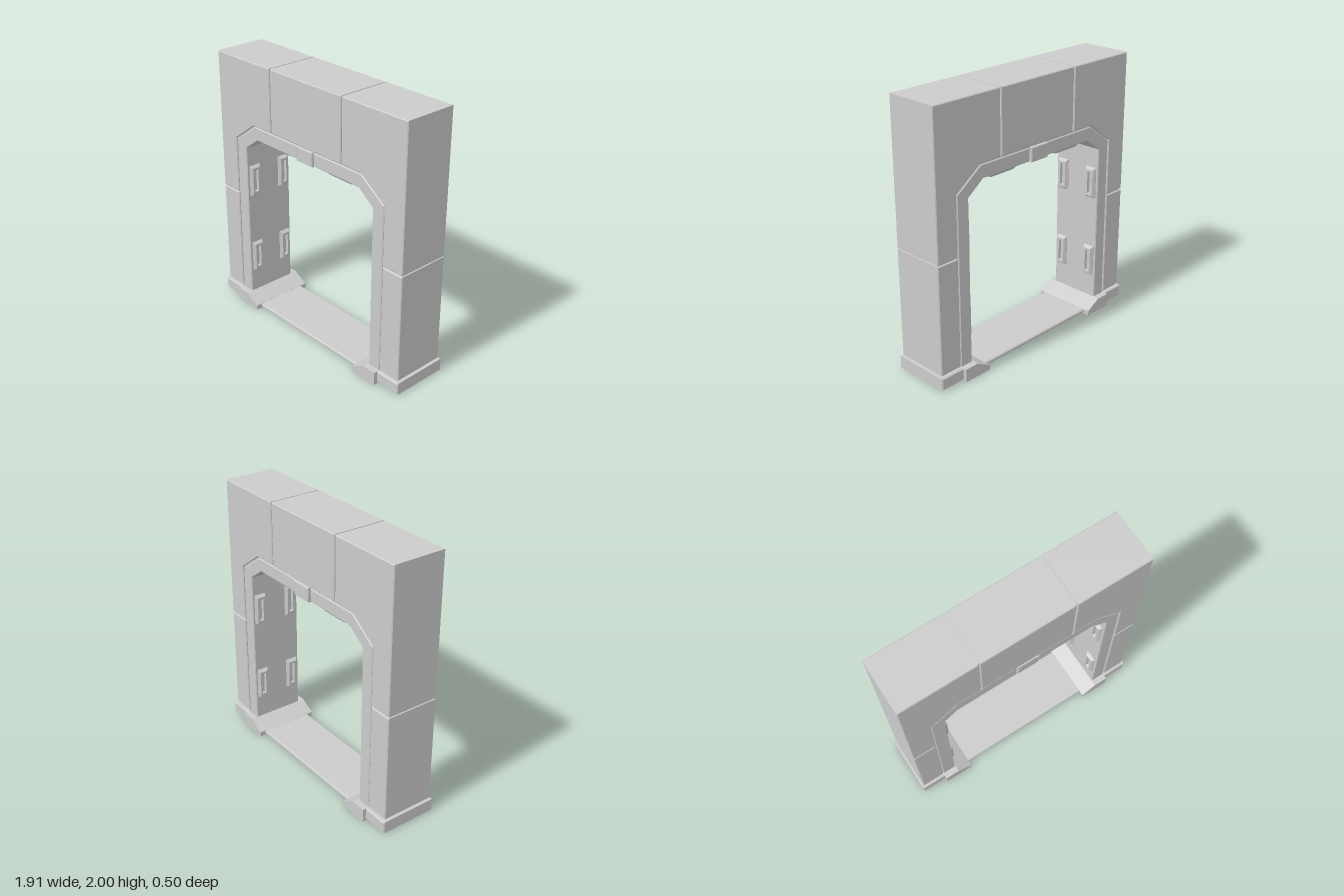
import * as THREE from 'three';

const grey = new THREE.MeshStandardMaterial({ color: 0xcccccc });

// Chamfered slab: an outline in x,y run from z0 to z1
function slab(name, pts, z0, z1, bevel = 0.006) {
  const shape = new THREE.Shape(pts.map(([x, y]) => new THREE.Vector2(x, y)));
  const geo = new THREE.ExtrudeGeometry(shape, {
    depth: z1 - z0 - 2 * bevel,
    bevelEnabled: bevel > 0,
    bevelThickness: bevel,
    bevelSize: bevel,
    bevelOffset: -bevel,
    bevelSegments: 1,
  });
  geo.translate(0, 0, z0 + bevel);
  const mesh = new THREE.Mesh(geo, grey);
  mesh.name = name;
  return mesh;
}

const rect = (x0, y0, x1, y1) => [[x0, y0], [x1, y0], [x1, y1], [x0, y1]];
const mirror = (pts, s) => pts.map(([x, y]) => [x * s, y]);

// Tapered plate with a sunken slot, facing +y, long along x
function slottedPlateGeometry() {
  const rings = [ // half length, half width, height
    [0.122, 0.046, -0.005], [0.122, 0.046, 0.004], [0.105, 0.032, 0.026],
    [0.088, 0.016, 0.026], [0.083, 0.012, 0.006], [0, 0, 0.006],
  ];
  const corners = [[1, 1], [1, -1], [-1, -1], [-1, 1]];
  const pos = [], index = [];
  rings.forEach(([l, w, h], i) => corners.forEach(([sx, sz], k) => {
    pos.push(sx * l, h, sz * w);
    if (i === rings.length - 1) return;
    const a = i * 4 + k, b = i * 4 + (k + 1) % 4;
    index.push(a, b, b + 4, a, b + 4, a + 4);
  }));
  const geo = new THREE.BufferGeometry();
  geo.setAttribute('position', new THREE.Float32BufferAttribute(pos, 3));
  geo.setIndex(index);
  const flat = geo.toNonIndexed();
  flat.computeVertexNormals();
  return flat;
}

export function createModel() {
  const group = new THREE.Group();
  const Z0 = -0.202, Z1 = 0.206;

  // Inner core seen at the bottom of the seams
  const half = [[0.67, 0.03], [0.67, 1.33], [0.53, 1.432]];
  group.add(slab('core', [
    [0.93, 0.03], [0.93, 1.99], [-0.93, 1.99], [-0.93, 0.03],
    ...mirror(half, -1), ...half.slice().reverse(),
  ], Z0 + 0.012, Z1 - 0.012, 0));

  // Wall blocks, frame, base and feet on both sides
  for (const [s, side] of [[1, 'left'], [-1, 'right']]) {
    const add = (name, pts, z0, z1, bevel) =>
      group.add(slab(side + name, mirror(pts, s), z0, z1, bevel));
    add('LowerBlock', rect(0.764, 0.112, 0.94, 0.926), Z0, Z1);
    add('UpperBlock', [
      [0.94, 0.936], [0.94, 2], [0.364, 2], [0.364, 1.528],
      [0.551, 1.528], [0.764, 1.373], [0.764, 0.936],
    ], Z0, Z1);
    add('Frame', [
      [0.757, 0.09], [0.757, 1.368], [0.546, 1.52], [0.088, 1.52],
      [0.088, 1.42], [0.52, 1.42], [0.655, 1.32], [0.655, 0.09],
    ], Z0 + 0.004, Z1 - 0.004);
    add('Base', rect(0.74, 0.008, 0.955, 0.1), -0.222, 0.222, 0.008);
    add('Foot', [
      [0.535, 0], [0.76, 0], [0.76, 0.1], [0.65, 0.1], [0.535, 0.036],
    ], -0.248, 0.25, 0);
  }
  group.add(slab('middleBlock', rect(-0.356, 1.528, 0.356, 2), Z0, Z1));
  group.add(slab('keystone', rect(-0.081, 1.415, 0.081, 1.523), -0.214, 0.212));
  group.add(slab('sill', rect(-0.56, 0.004, 0.56, 0.035), Z0, Z1, 0.008));

  // Slotted plates on the jambs and under the lintel
  const plateGeo = slottedPlateGeometry();
  const plate = (name, x, y, z, turn) => {
    const mesh = new THREE.Mesh(plateGeo, grey);
    mesh.name = name;
    mesh.position.set(x, y, z);
    mesh.rotation.z = turn;
    group.add(mesh);
  };
  for (const s of [1, -1]) {
    for (const z of [0.135, -0.135]) {
      for (const y of [0.403, 1.047]) plate('jambPlate', s * 0.655, y, z, s * Math.PI / 2);
      plate('lintelPlate', s * 0.32, 1.42, z, Math.PI);
    }
  }
  return group;
}
